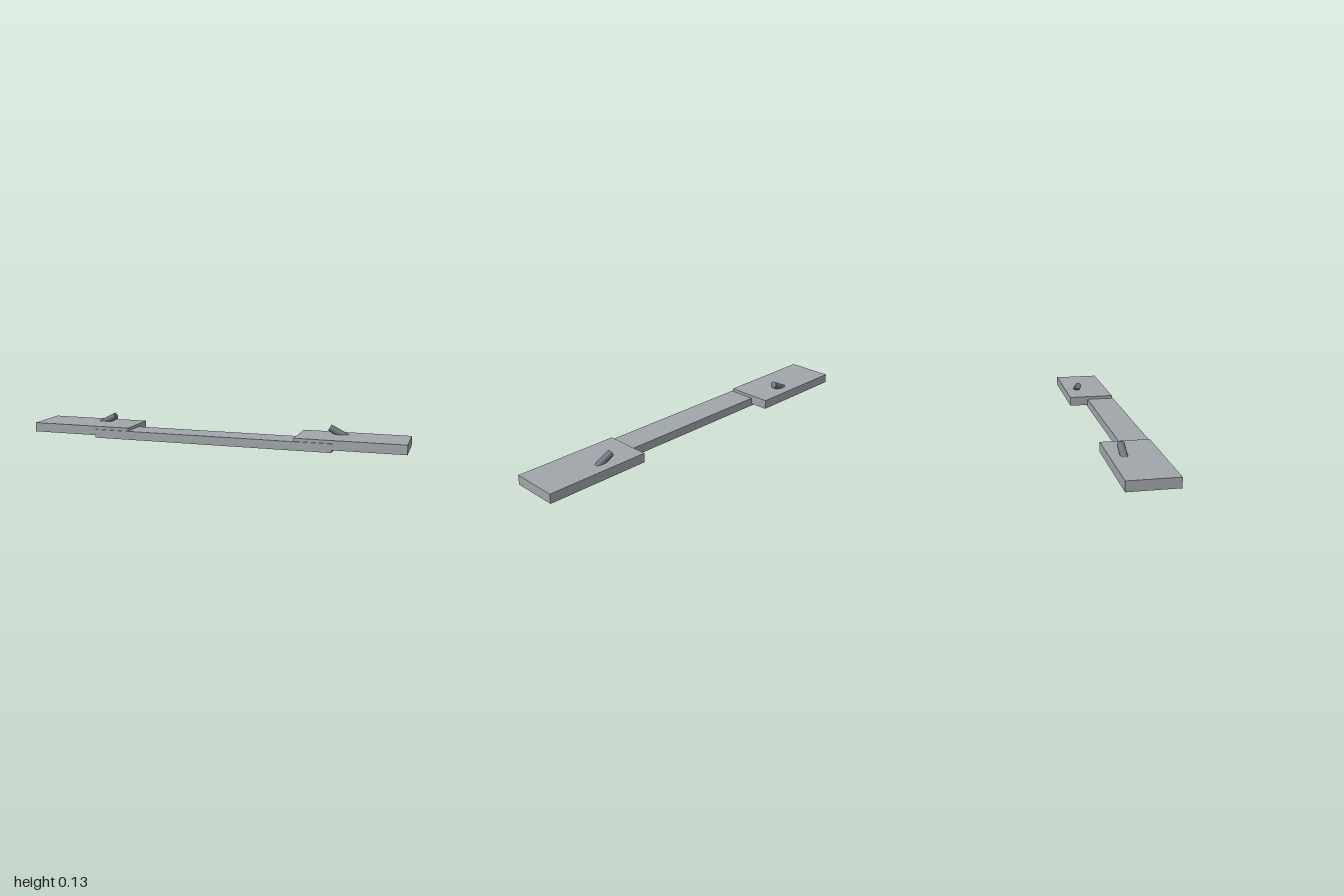
import * as THREE from 'three';

const material = (name, color) => {
  const m = new THREE.MeshStandardMaterial({ color });
  m.name = name;
  return m;
};

// Box given by its lower and upper limits on each axis
function slab(name, [x0, x1], [y0, y1], [z0, z1], mat) {
  const mesh = new THREE.Mesh(new THREE.BoxGeometry(x1 - x0, y1 - y0, z1 - z0), mat);
  mesh.position.set((x0 + x1) / 2, (y0 + y1) / 2, (z0 + z1) / 2);
  mesh.name = name;
  return mesh;
}

export function createModel() {
  const model = new THREE.Group();
  model.name = 'slidingBar';
  const plateGrey = material('plate grey', 0xa0a6aa);
  const pinGrey = material('pin dark grey', 0x69727b);

  // Long bar, lower and further forward than the end plates
  model.add(slab('crossBar', [-0.637, 0.637], [0.017, 0.062], [-0.024, 0.125], plateGrey));

  for (const side of [-1, 1]) {
    const label = side > 0 ? 'left' : 'right';

    // Wide end plate overlapping the bar
    const xs = side > 0 ? [0.447, 1] : [-1, -0.447];
    model.add(slab(label + 'EndPlate', xs, [0.029, 0.078], [-0.125, 0.118], plateGrey));

    // Slanted pin through the plate, rising towards the middle
    const pin = new THREE.Mesh(new THREE.CylinderGeometry(0.0182, 0.0182, 0.204, 24), pinGrey);
    pin.name = label + 'Pin';
    pin.position.set(side * 0.687, 0.063, -0.056);
    pin.rotation.z = side * THREE.MathUtils.degToRad(63);
    model.add(pin);
  }
  return model;
}
